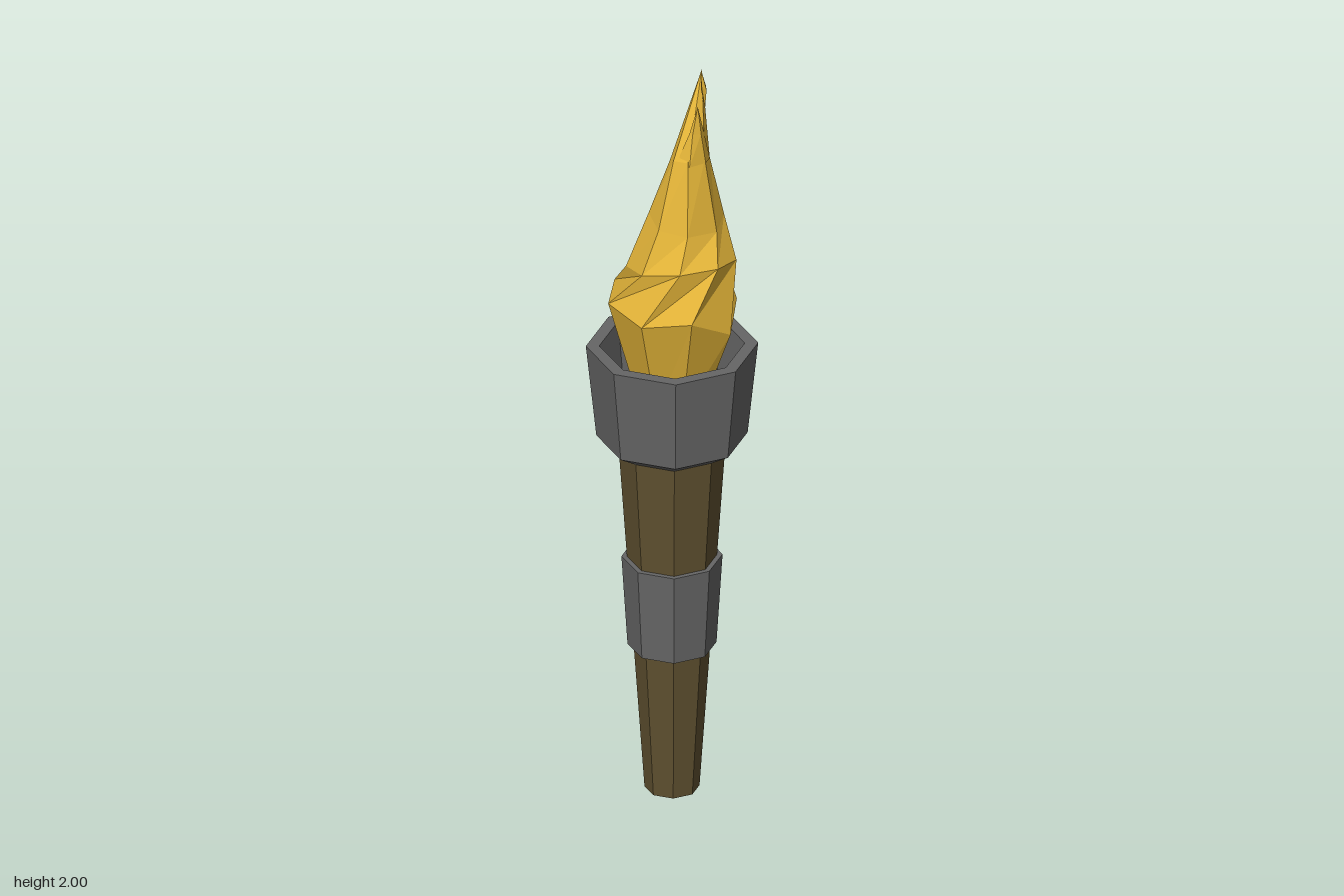
import * as THREE from 'three';

const mat = (color) => new THREE.MeshStandardMaterial({ color, flatShading: true, side: THREE.DoubleSide });

// Skin a stack of closed rings of [x, y, z] points; a one-point ring is a tip.
function skin(rings) {
  const pos = [];
  const tri = (a, b, c) => pos.push(...a, ...b, ...c);
  for (let r = 0; r < rings.length - 1; r++) {
    const a = rings[r], b = rings[r + 1];
    const n = Math.max(a.length, b.length);
    for (let i = 0; i < n; i++) {
      const j = (i + 1) % n;
      const a0 = a[i % a.length], a1 = a[j % a.length];
      const b0 = b[i % b.length], b1 = b[j % b.length];
      if (a.length > 1) tri(a0, a1, b1);
      if (b.length > 1) tri(a0, b1, b0);
    }
  }
  const g = new THREE.BufferGeometry();
  g.setAttribute('position', new THREE.Float32BufferAttribute(pos, 3));
  g.computeVertexNormals();
  return g;
}

export function createModel() {
  const model = new THREE.Group();
  model.name = 'torch';
  const wood = mat(0x5f5130), metal = mat(0x666666), fire = mat(0xe2b338);

  const add = (name, geometry, material) => {
    const mesh = new THREE.Mesh(geometry, material);
    mesh.name = name;
    model.add(mesh);
  };
  // Octagonal turned part from [radius, height] pairs
  const turned = (name, profile, material) =>
    add(name, new THREE.LatheGeometry(profile.map(([r, y]) => new THREE.Vector2(r, y)), 8), material);

  // Handle, grip band and hollow cup
  turned('handle', [[0, 0], [0.068, 0], [0.132, 0.95], [0, 0.95]], wood);
  turned('gripBand', [[0.095, 0.4], [0.11, 0.4], [0.125, 0.645], [0.11, 0.645]], metal);
  turned('cup', [[0, 0.95], [0.132, 0.95], [0.187, 0.985], [0.213, 1.235],
    [0.18, 1.235], [0.165, 1.09], [0, 1.09]], metal);

  // Flame: twisted rings leaning back to a tip
  const bulge = [[-0.165, 1.37, 0.03], [-0.09, 1.37, 0.135], [0.04, 1.355, 0.155], [0.14, 1.37, 0.08],
    [0.155, 1.3, -0.045], [0.075, 1.33, -0.155], [-0.045, 1.32, -0.17], [-0.15, 1.36, -0.095]];
  const base = bulge.map(([x, , z]) => [x * 0.52, 1.085, z * 0.52]);
  const shoulder = [[-0.09, 1.45, 0.07], [0, 1.47, 0.11], [0.095, 1.49, 0.075], [0.14, 1.49, -0.015],
    [0.115, 1.47, -0.11], [0.035, 1.42, -0.155], [-0.055, 1.42, -0.15], [-0.125, 1.43, -0.04]];
  const waist = [[-0.06, 1.59, 0.02], [0.01, 1.58, 0.06], [0.075, 1.57, 0.025], [0.095, 1.56, -0.06],
    [0.055, 1.57, -0.13], [-0.02, 1.58, -0.155], [-0.08, 1.6, -0.13], [-0.105, 1.6, -0.06]];
  const neck = [[-0.03, 1.73, -0.025], [0.005, 1.75, 0], [0.04, 1.75, -0.015], [0.055, 1.75, -0.06],
    [0.03, 1.73, -0.105], [-0.01, 1.73, -0.116], [-0.045, 1.72, -0.108], [-0.06, 1.72, -0.07]];
  add('flame', skin([base, bulge, shoulder, waist, neck, [[-0.015, 1.95, -0.125]]]), fire);

  // Smaller second tongue beside the main tip
  add('sideTongue', skin([
    [[0.002, 1.73, -0.06], [0.01, 1.74, -0.003], [0.045, 1.74, -0.015], [0.058, 1.74, -0.06], [0.035, 1.73, -0.1]],
    [[0.02, 1.82, -0.06], [0.025, 1.82, -0.037], [0.037, 1.82, -0.035], [0.047, 1.82, -0.055], [0.036, 1.82, -0.075]],
    [[0.035, 1.89, -0.056]]]), fire);

  // Loose ember floating above
  add('ember', skin([
    [[0.065, 1.9, -0.05]],
    [[0.055, 1.95, -0.046], [0.063, 1.96, -0.04], [0.068, 1.95, -0.052], [0.058, 1.955, -0.061]],
    [[0.055, 2, -0.048]]]), fire);

  return model;
}
